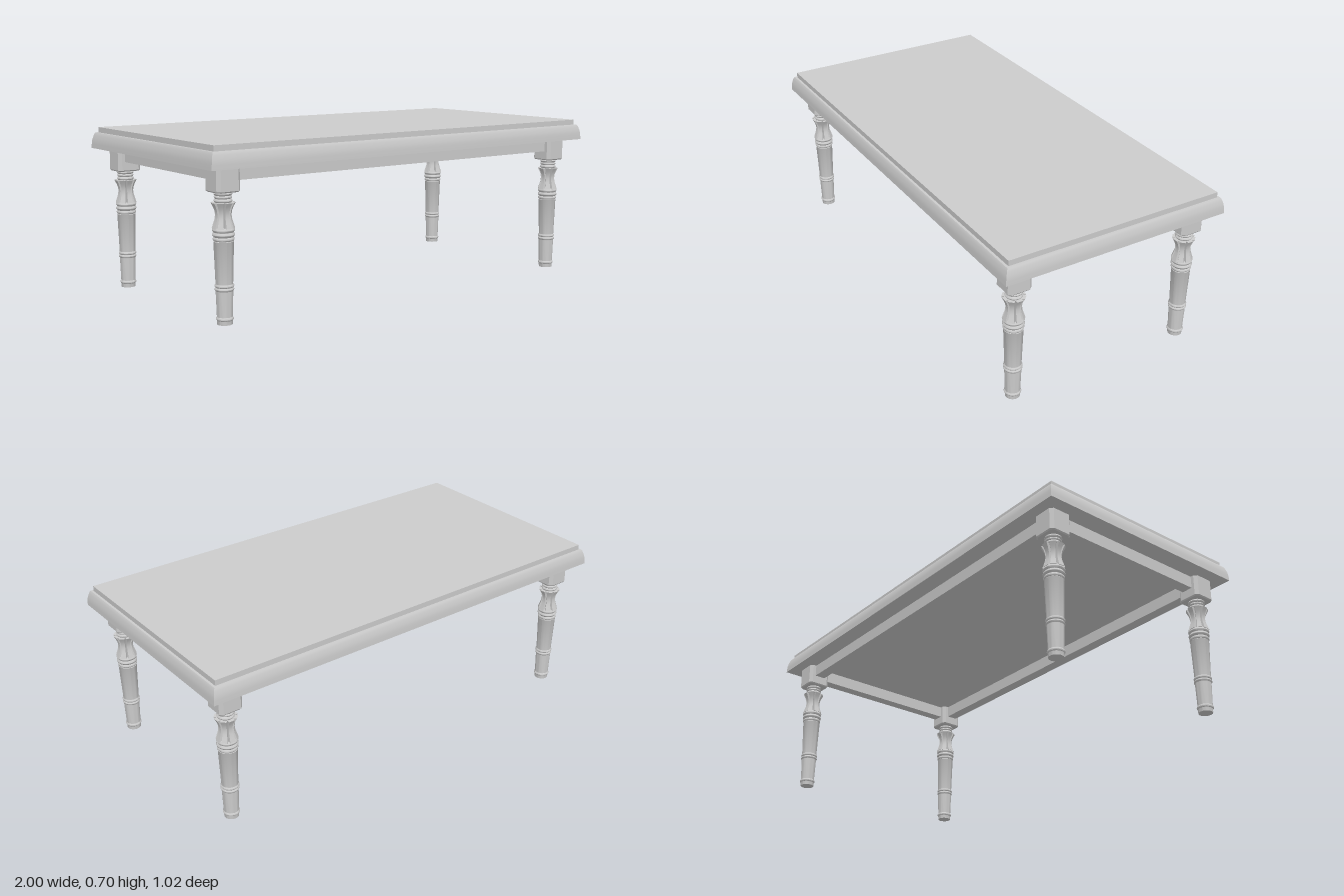
import * as THREE from 'three';
import { toCreasedNormals } from 'three/addons/utils/BufferGeometryUtils.js';

const material = new THREE.MeshStandardMaterial({ color: 0xcccccc });
const LEG_X = 0.893, LEG_Z = 0.409;

function addMesh(parent, geometry, name) {
  const mesh = new THREE.Mesh(geometry, material);
  mesh.name = name;
  parent.add(mesh);
  return mesh;
}

// Skin a stack of closed horizontal loops of [x, z] points, capped at both ends.
function loft(sections, crease) {
  const pos = [];
  const tri = (...pts) => pts.forEach((p) => pos.push(...p));
  const rings = sections.map(({ y, loop }) => loop.map(([x, z]) => [x, y, z]));
  const n = rings[0].length, last = rings.length - 1;
  for (let i = 0; i < n; i++) {
    const j = (i + 1) % n;
    for (let k = 0; k < last; k++) {
      const a = rings[k], b = rings[k + 1];
      tri(a[i], b[i], a[j]);
      tri(b[i], b[j], a[j]);
    }
    tri([0, sections[0].y, 0], rings[0][i], rings[0][j]);
    tri([0, sections[last].y, 0], rings[last][j], rings[last][i]);
  }
  const geometry = new THREE.BufferGeometry();
  geometry.setAttribute('position', new THREE.Float32BufferAttribute(pos, 3));
  return toCreasedNormals(geometry, crease);
}

const rectangle = (x, z) => [[x, -z], [x, z], [-x, z], [-x, -z]];

// Square with cut corners
const chamferedSquare = (h, c) => [
  [h, -h + c], [h, h - c], [h - c, h], [-h + c, h],
  [-h, h - c], [-h, -h + c], [-h + c, -h], [h - c, -h],
];

// Eight flat petals separated by V grooves
function petalLoop(r, groove) {
  const loop = [];
  for (let i = 0; i < 8; i++) {
    for (const [offset, radius] of [[-0.27, r], [0.27, r], [Math.PI / 8, r * groove]]) {
      const a = i * Math.PI / 4 + offset;
      loop.push([radius * Math.cos(a), radius * Math.sin(a)]);
    }
  }
  return loop;
}

// Profile points of a rounded bead
function bead(y0, y1, r, bulge) {
  const points = [];
  for (let i = 0; i <= 6; i++) {
    const t = i / 6;
    points.push([r + bulge * Math.sin(Math.PI * t), y0 + (y1 - y0) * t]);
  }
  return points;
}

function turned(points) {
  const profile = points.map(([r, y]) => new THREE.Vector2(r, y));
  return toCreasedNormals(new THREE.LatheGeometry(profile, 28), 0.6);
}

function createLeg() {
  const leg = new THREE.Group();
  leg.name = 'leg';

  // Tapered shaft with foot, middle and upper beads
  addMesh(leg, turned([
    [0, 0], [0.03, 0], [0.031, 0.015],
    ...bead(0.016, 0.03, 0.031, 0.004),
    [0.031, 0.031], [0.034, 0.13],
    ...bead(0.132, 0.145, 0.034, 0.004),
    ...bead(0.146, 0.159, 0.034, 0.004),
    [0.034, 0.16], [0.0395, 0.325],
    ...bead(0.327, 0.342, 0.038, 0.004),
    ...bead(0.343, 0.36, 0.039, 0.005),
    ...bead(0.361, 0.379, 0.039, 0.005),
    [0, 0.38],
  ]), 'legShaft');

  // Waisted, fluted section
  const flute = [
    [0.376, 0.045], [0.392, 0.04], [0.41, 0.034], [0.428, 0.0315],
    [0.445, 0.034], [0.46, 0.04], [0.475, 0.048],
  ];
  addMesh(leg, loft(flute.map(([y, r]) => ({ y, loop: petalLoop(r, 0.72) })), 0.35), 'flutedNeck');

  // Beaded collar
  addMesh(leg, turned([
    [0, 0.472], [0.032, 0.472],
    ...bead(0.476, 0.489, 0.032, 0.004),
    ...bead(0.49, 0.502, 0.031, 0.004),
    ...bead(0.503, 0.515, 0.032, 0.004),
    [0.033, 0.52], [0, 0.52],
  ]), 'collar');

  // Square block with softened corners
  addMesh(leg, loft([
    { y: 0.516, loop: chamferedSquare(0.048, 0.012) },
    { y: 0.521, loop: chamferedSquare(0.052, 0.013) },
    { y: 0.614, loop: chamferedSquare(0.052, 0.013) },
  ], 0.3), 'legBlock');
  return leg;
}

export function createModel() {
  const table = new THREE.Group();
  table.name = 'table';

  // Moulded top: each entry is height and inset from the outer edge
  const edge = [
    [0.612, 0], [0.63, 0.001], [0.643, 0.002], [0.655, 0.0045],
    [0.667, 0.008], [0.675, 0.011], [0.68, 0.014], [0.68, 0.024], [0.703, 0.024],
  ];
  addMesh(table, loft(edge.map(([y, inset]) => (
    { y, loop: rectangle(1 - inset, 0.511 - inset) }
  )), 0.6), 'tableTop');

  // Apron rails between the leg blocks
  for (const s of [-1, 1]) {
    const long = addMesh(table, new THREE.BoxGeometry(LEG_X * 2 - 0.08, 0.055, 0.05), 'longApron');
    long.position.set(0, 0.5855, s * LEG_Z);
    const short = addMesh(table, new THREE.BoxGeometry(0.05, 0.055, LEG_Z * 2 - 0.08), 'shortApron');
    short.position.set(s * LEG_X, 0.5855, 0);
  }

  // Four legs
  for (const sx of [-1, 1]) {
    for (const sz of [-1, 1]) {
      const leg = createLeg();
      leg.position.set(sx * LEG_X, 0, sz * LEG_Z);
      table.add(leg);
    }
  }
  return table;
}
